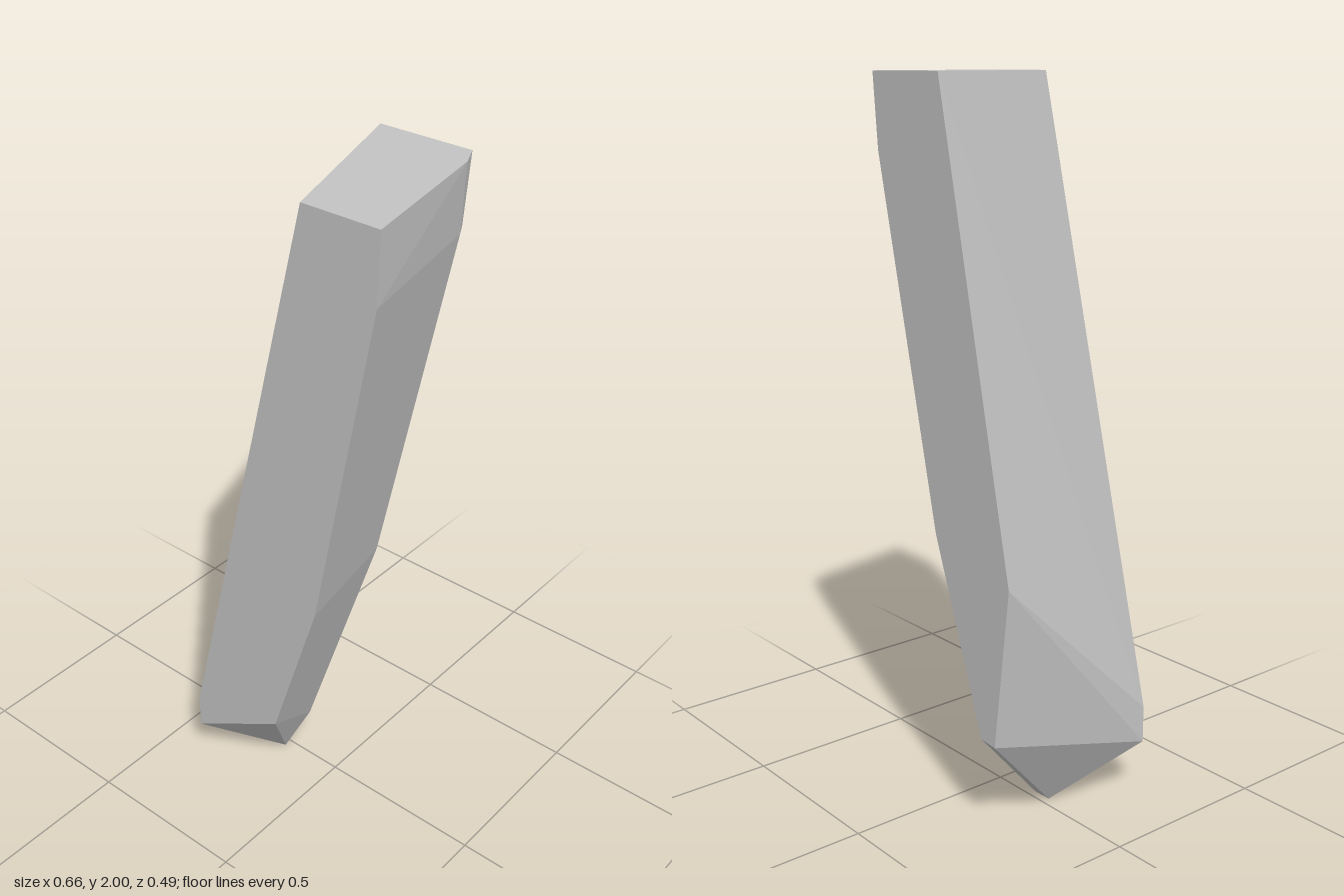
import * as THREE from 'three';
import { ConvexGeometry } from 'three/addons/geometries/ConvexGeometry.js';

export function createModel() {
  const group = new THREE.Group();
  group.name = 'stoneShard';
  const stone = new THREE.MeshStandardMaterial({ color: 0xc4c4c4 });
  stone.name = 'pale grey stone';

  // Flat front and back outlines as [x, y]
  const depth = 0.247;
  const front = [[0.105, 2], [0.332, 2], [0.325, 1.81], [0.135, 0.84], [-0.02, 0.355], [-0.333, 0.165], [-0.333, 0.27]];
  const back = [[-0.06, 2], [0.218, 2], [0.2, 1.8], [-0.03, 0.81], [-0.22, 0.285], [-0.276, 0.28], [-0.333, 0.735]];
  // Ridge that chamfers the back right edge, then the pointed foot, as [x, y, z]
  const ridge = [[0.25, 2, -0.182], [0.228, 1.805, -0.2], [0.05, 0.81, -0.125], [-0.12, 0.15, -0.02]];
  const foot = [[-0.185, 0, 0.025], [-0.185, 0.04, -0.025]];

  const points = [
    ...front.map(([x, y]) => [x, y, depth]),
    ...back.map(([x, y]) => [x, y, -depth]),
    ...ridge,
    ...foot,
  ].map((p) => new THREE.Vector3(...p));

  // Faceted leaning shard
  const shard = new THREE.Mesh(new ConvexGeometry(points), stone);
  shard.name = 'shard';
  group.add(shard);
  return group;
}
